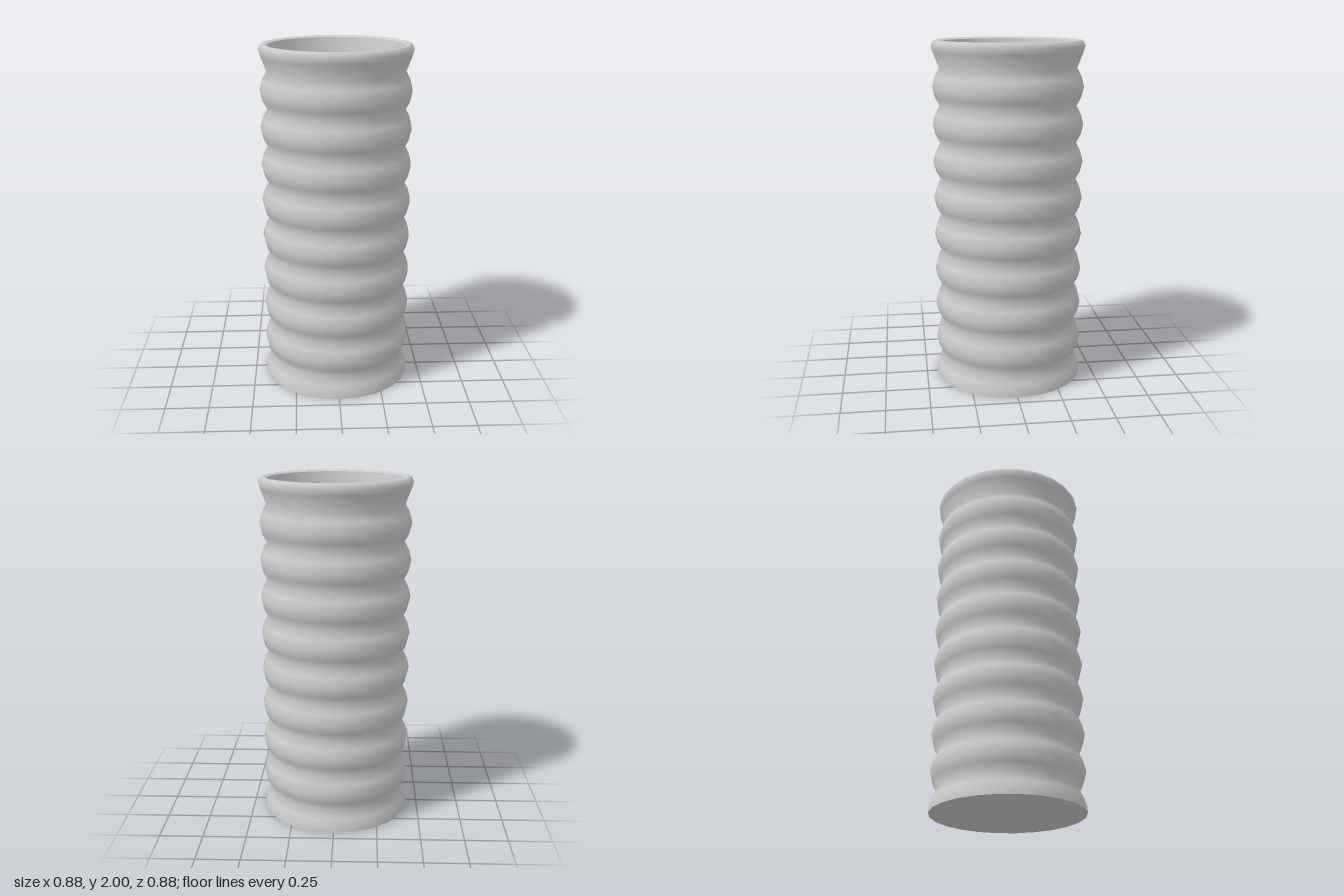
import * as THREE from 'three';

const SIDES = 24;

export function createModel() {
  const model = new THREE.Group();
  model.name = 'ribbedTube';
  const grey = new THREE.MeshStandardMaterial({ color: 0xcccccc });
  grey.name = 'light grey';

  // Revolves a profile of [radius, height] points
  const turn = (name, profile) => {
    const points = profile.map(([r, y]) => new THREE.Vector2(r, y));
    const mesh = new THREE.Mesh(new THREE.LatheGeometry(points, SIDES), grey);
    mesh.name = name;
    model.add(mesh);
  };

  // Outer wall: a half rib at the foot, eight full ribs, then the flared rim
  const pitch = 0.215, firstGroove = 0.125, ribs = 8;
  const wall = [[0.436, 0], [0.434, 0.03], [0.422, 0.075]];
  for (let i = 0; i < ribs; i++) {
    const y = firstGroove + i * pitch;
    wall.push([0.396, y], [0.422, y + pitch * 0.23], [0.436, y + pitch * 0.5], [0.422, y + pitch * 0.77]);
  }
  wall.push([0.396, firstGroove + ribs * pitch], [0.43, 1.935], [0.44, 1.968], [0.428, 1.995], [0.41, 2], [0.39, 1.99]);
  turn('ribbedWall', wall);

  // Hollow inside, tapering to the foot
  turn('innerHollow', [[0.39, 1.99], [0, 0.01]]);

  // Flat underside
  turn('base', [[0, 0], [0.436, 0]]);

  return model;
}
